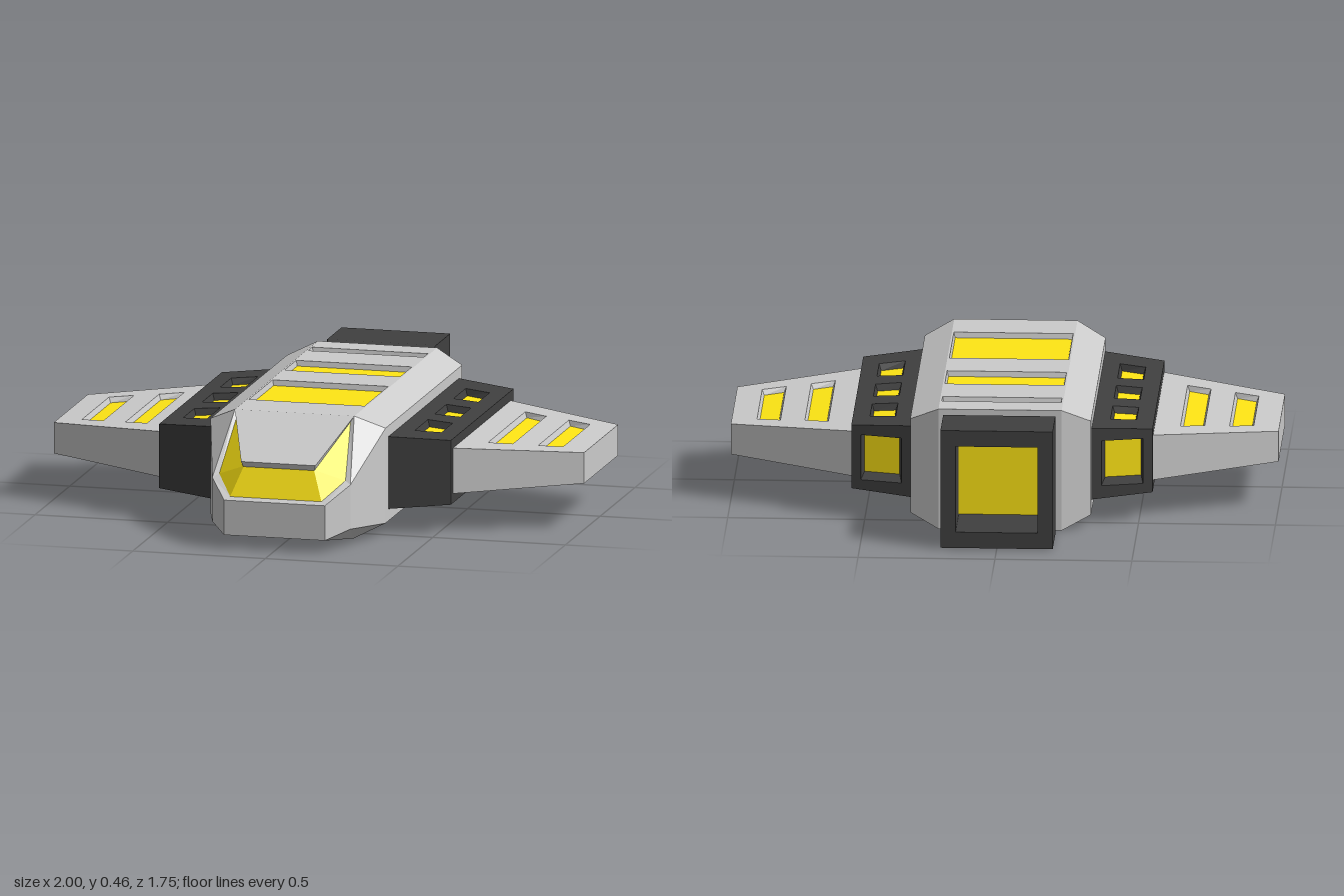
import * as THREE from 'three';

const GREY = 0xcccccc, DARK = 0x404040, YELLOW = 0xffe614;
const V = (x, y, z) => new THREE.Vector3(x, y, z);
const mean = (pts) => pts.reduce((a, p) => a.add(p), V(0, 0, 0)).divideScalar(pts.length);

// Collects flat polygons; each is turned away from (or towards) a reference point.
class Faces {
  constructor() { this.pos = []; }
  add(pts, ref, towards = false) {
    const n = V(0, 0, 0);
    for (let i = 1; i < pts.length - 1; i++) {
      n.add(pts[i].clone().sub(pts[0]).cross(pts[i + 1].clone().sub(pts[0])));
    }
    const away = n.dot(mean(pts).sub(ref)) > 0;
    const list = away !== towards ? pts : [...pts].reverse();
    for (let i = 1; i < list.length - 1; i++) {
      for (const p of [list[0], list[i], list[i + 1]]) this.pos.push(p.x, p.y, p.z);
    }
  }
  // Six-sided block between two matching quads; skip: 0, 1 are the quads, 2..5 the sides.
  block(a, b, skip = []) {
    const ref = mean([...a, ...b]);
    const all = [a, b];
    for (let i = 0; i < 4; i++) { const j = (i + 1) % 4; all.push([a[i], a[j], b[j], b[i]]); }
    all.forEach((f, i) => { if (!skip.includes(i)) this.add(f, ref); });
  }
  mesh(name, color) {
    const g = new THREE.BufferGeometry();
    g.setAttribute('position', new THREE.Float32BufferAttribute(this.pos, 3));
    g.computeVertexNormals();
    const m = new THREE.Mesh(g, new THREE.MeshStandardMaterial({ color, flatShading: true }));
    m.name = name;
    return m;
  }
}

// Panel with sunken windows. map(u, v, depth) places a 2D point in space.
function sunkenPanel(frame, glass, outline, holes, map, depth, ref, inset = 0.008) {
  const v2 = (l) => l.map(([u, v]) => new THREE.Vector2(u, v));
  const flat = [outline, ...holes].flat();
  for (const tri of THREE.ShapeUtils.triangulateShape(v2(outline), holes.map(v2))) {
    frame.add(tri.map((i) => map(...flat[i], 0)), ref);
  }
  for (const h of holes) {
    const cu = h.reduce((s, p) => s + p[0], 0) / h.length;
    const cv = h.reduce((s, p) => s + p[1], 0) / h.length;
    const rim = h.map(([u, v]) => map(u, v, 0));
    const floor = h.map(([u, v]) => map(u - Math.sign(u - cu) * inset, v - Math.sign(v - cv) * inset, depth));
    rim.forEach((p, i) => {
      const j = (i + 1) % rim.length;
      frame.add([p, rim[j], floor[j], floor[i]], map(cu, cv, depth / 2), true);
    });
    glass.add(floor, ref);
  }
}
const rect = (u0, u1, v0, v1) => [[u0, v0], [u1, v0], [u1, v1], [u0, v1]];

function buildHull(group) {
  const hull = new Faces(), lights = new Faces(), canopy = new Faces(), hood = new Faces();
  const mid = V(0, 0.22, 0);
  const ref = V(0, 0.2, 0.45);

  // Roof with three sunken lights
  sunkenPanel(hull, lights, rect(-0.225, 0.225, -0.61, 0.58),
    [[-0.505, -0.445], [-0.275, -0.105], [0.065, 0.405]].map(([a, b]) => rect(-0.218, 0.218, a, b)),
    (x, z, d) => V(x, 0.455 - d, z), 0.02, mid, 0.005);

  const pair = (x, y, z) => [V(x, y, z), V(-x, y, z)];
  const T = pair(0.225, 0.455, 0.58), D = pair(0.33, 0.405, 0.53);
  const Dl = pair(0.33, 0.05, 0.53), Tl = pair(0.225, 0, 0.59);
  const Tb = pair(0.225, 0.455, -0.61), Db = pair(0.33, 0.405, -0.57);
  const Dbl = pair(0.33, 0.05, -0.57), Tbl = pair(0.225, 0, -0.61);
  const A = pair(0.19, 0.18, 0.87), Al = pair(0.19, 0.05, 0.87);
  const C = pair(0.26, 0.24, 0.77), Cl = pair(0.26, 0.075, 0.77);
  const a = pair(0.172, 0.19, 0.85), c = pair(0.238, 0.252, 0.755);
  const t = pair(0.213, 0.44, 0.585), h = pair(0.132, 0.297, 0.805);

  for (const s of [0, 1]) {
    // Body side, chamfers and tail
    hull.add([T[s], D[s], Db[s], Tb[s]], mid);
    hull.add([D[s], Dl[s], Dbl[s], Db[s]], mid);
    hull.add([Dl[s], Tl[s], Tbl[s], Dbl[s]], mid);
    hull.add([Tb[s], Db[s], Dbl[s], Tbl[s]], mid);
    // Nose side, underside and canopy rim
    for (const f of [[T, D, C], [D, Dl, Cl, C], [C, Cl, Al, A], [Dl, Tl, Cl], [Tl, Al, Cl],
      [A, C, c, a], [C, T, t, c]]) hull.add(f.map((p) => p[s]), ref);
    // Canopy side panes
    canopy.add([a[s], c[s], h[s]], ref);
    canopy.add([c[s], t[s], h[s]], ref);
  }
  const across = (f, p, q, r) => f.add([p[0], p[1], q[1], q[0]], r);
  across(hull, Tl, Tbl, mid);
  across(hull, Tb, Tbl, mid);
  across(hull, A, Al, ref);
  across(hull, Tl, Al, ref);
  across(hull, A, a, ref);
  across(canopy, a, h, ref);

  // Overhanging plate above the canopy
  const plate = (x0, y0, z0, x1, y1, z1) =>
    [V(-x0, y0, z0), V(x0, y0, z0), V(x1, y1, z1), V(-x1, y1, z1)];
  hood.block(plate(0.225, 0.455, 0.58, 0.14, 0.315, 0.815), plate(0.212, 0.432, 0.575, 0.134, 0.295, 0.808));

  group.add(hull.mesh('hull', GREY), lights.mesh('roofLights', YELLOW),
    canopy.mesh('canopy', YELLOW), hood.mesh('canopyHood', GREY));
}

function buildNozzle(group) {
  const shell = new Faces(), glow = new Faces();
  const ring = (x, y0, y1, z) => [V(-x, y0, z), V(x, y0, z), V(x, y1, z), V(-x, y1, z)];
  const collar = ring(0.185, 0.035, 0.42, -0.605), front = ring(0.205, 0.005, 0.45, -0.67);
  shell.block(collar, front, [1]);
  shell.block(front, ring(0.205, 0.005, 0.45, -0.875), [0, 1]);
  // Hollow exhaust
  sunkenPanel(shell, glow, rect(-0.205, 0.205, 0.005, 0.45), [rect(-0.15, 0.15, 0.065, 0.39)],
    (x, y, d) => V(x, y, -0.875 + d), 0.24, V(0, 0.23, 0), 0);
  group.add(shell.mesh('mainNozzle', DARK), glow.mesh('mainExhaust', YELLOW));
}

function buildSide(group, s) {
  const side = s > 0 ? 'left' : 'right';
  const lerp = THREE.MathUtils.mapLinear;
  // Upright section at distance x from the centre line
  const section = (x, y0, y1, zb, zf) =>
    [V(s * x, y0, zb), V(s * x, y0, zf), V(s * x, y1, zf), V(s * x, y1, zb)];

  // Engine pod: windows in the top, hollow exhaust at the back
  const pod = new Faces(), podGlow = new Faces();
  const podRef = V(s * 0.44, 0.23, 0);
  pod.block(section(0.33, 0.095, 0.365, -0.525, 0.49), section(0.55, 0.11, 0.35, -0.47, 0.43), [4, 5]);
  sunkenPanel(pod, podGlow, [[0.33, -0.525], [0.55, -0.47], [0.55, 0.43], [0.33, 0.49]],
    [
      [[0.392, -0.385], [0.487, -0.365], [0.487, -0.205], [0.392, -0.21]],
      [[0.392, -0.108], [0.487, -0.1], [0.487, 0.055], [0.392, 0.06]],
      [[0.392, 0.157], [0.487, 0.165], [0.487, 0.325], [0.392, 0.345]],
    ],
    (x, z, d) => V(s * x, lerp(x, 0.33, 0.55, 0.365, 0.35) - d, z), 0.025, podRef);
  sunkenPanel(pod, podGlow, [[0.33, 0.095], [0.55, 0.11], [0.55, 0.35], [0.33, 0.365]],
    [rect(0.365, 0.515, 0.145, 0.315)],
    (x, y, d) => V(s * x, y, lerp(x, 0.33, 0.55, -0.525, -0.47) + d), 0.08, podRef, 0.01);

  // Tapered wing with two long lights
  const wing = new Faces(), wingGlow = new Faces();
  wing.block(section(0.55, 0.145, 0.315, -0.43, 0.4), section(1, 0.172, 0.287, -0.26, 0.23), [4]);
  sunkenPanel(wing, wingGlow, [[0.55, -0.43], [1, -0.26], [1, 0.23], [0.55, 0.4]],
    [
      [[0.643, -0.285], [0.73, -0.255], [0.73, 0.225], [0.643, 0.25]],
      [[0.82, -0.237], [0.907, -0.21], [0.907, 0.178], [0.82, 0.203]],
    ],
    (x, z, d) => V(s * x, lerp(x, 0.55, 1, 0.315, 0.287) - d, z), 0.02, V(s * 0.75, 0.23, 0));

  group.add(pod.mesh(side + 'EnginePod', DARK), podGlow.mesh(side + 'PodLights', YELLOW),
    wing.mesh(side + 'Wing', GREY), wingGlow.mesh(side + 'WingLights', YELLOW));
}

export function createModel() {
  const group = new THREE.Group();
  group.name = 'spacecraft';
  buildHull(group);
  buildNozzle(group);
  for (const s of [1, -1]) buildSide(group, s);
  return group;
}
